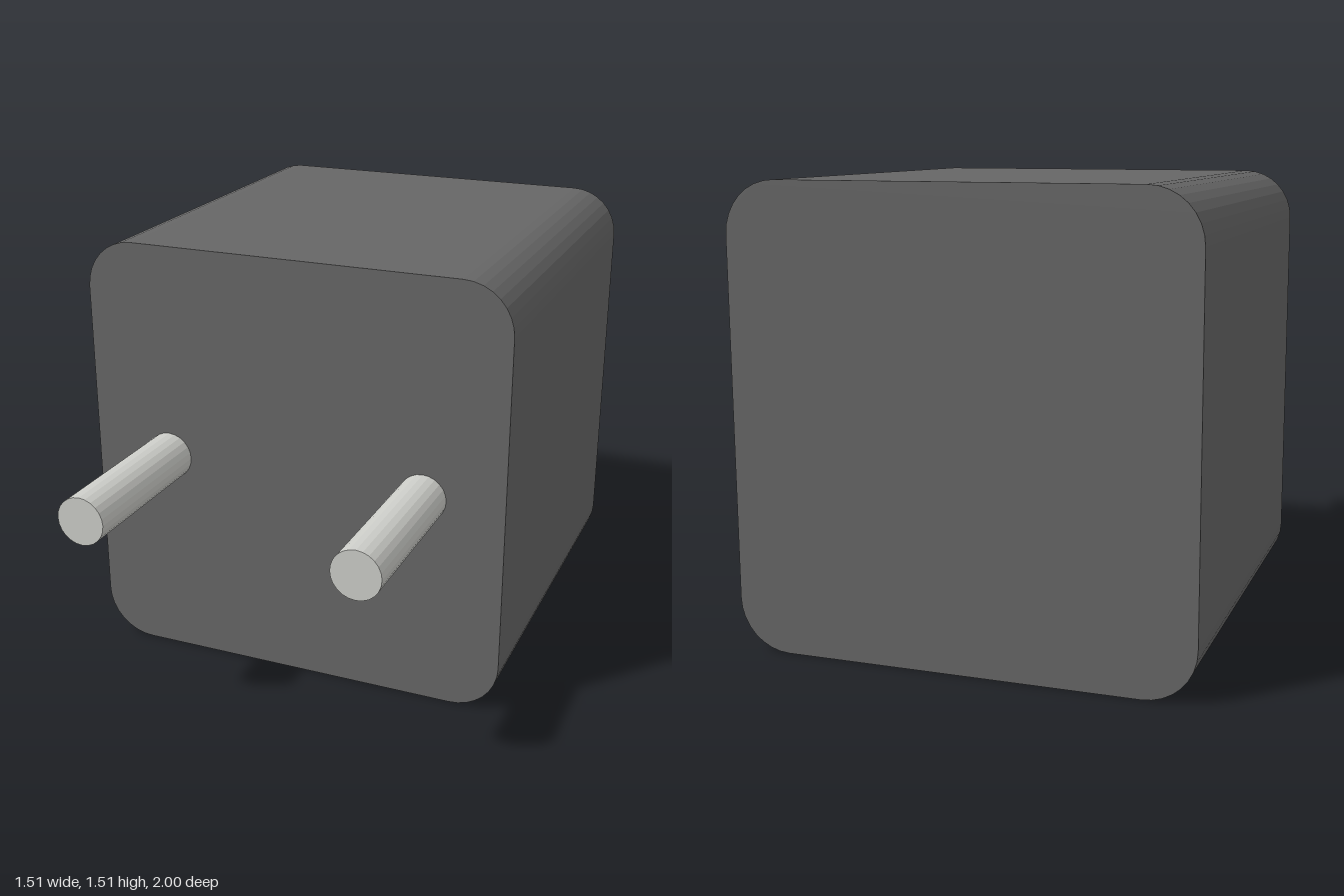
import * as THREE from 'three';

const HALF = 0.755, CORNER = 0.17, BACK = -1, FACE = 0.415;
const PIN_R = 0.083, PIN_X = 0.47, PIN_END = 1, EMBED = 0.02;

// Square outline with rounded corners, centred on the origin
function roundedSquare(h, r) {
  const s = new THREE.Shape();
  const c = h - r;
  s.absarc(c, c, r, 0, Math.PI / 2);
  s.absarc(-c, c, r, Math.PI / 2, Math.PI);
  s.absarc(-c, -c, r, Math.PI, Math.PI * 1.5);
  s.absarc(c, -c, r, Math.PI * 1.5, Math.PI * 2);
  s.closePath();
  return s;
}

export function createModel() {
  const model = new THREE.Group();
  model.name = 'plug';
  const dark = new THREE.MeshStandardMaterial({ color: 0x666666, flatShading: true });
  const metal = new THREE.MeshStandardMaterial({ color: 0xcccdc8, flatShading: true });

  // Housing: rounded square run from the back to the front face
  const bodyGeo = new THREE.ExtrudeGeometry(roundedSquare(HALF, CORNER), {
    depth: FACE - BACK, bevelEnabled: false, curveSegments: 4,
  });
  const body = new THREE.Mesh(bodyGeo, dark);
  body.name = 'housing';
  body.position.set(0, HALF, BACK);
  model.add(body);

  // Two round contact pins on the front face
  const length = PIN_END - FACE + EMBED;
  const pinGeo = new THREE.CylinderGeometry(PIN_R, PIN_R, length, 24).rotateX(Math.PI / 2);
  for (const [side, name] of [[1, 'leftPin'], [-1, 'rightPin']]) {
    const pin = new THREE.Mesh(pinGeo, metal);
    pin.name = name;
    pin.position.set(side * PIN_X, HALF, PIN_END - length / 2);
    model.add(pin);
  }
  return model;
}
